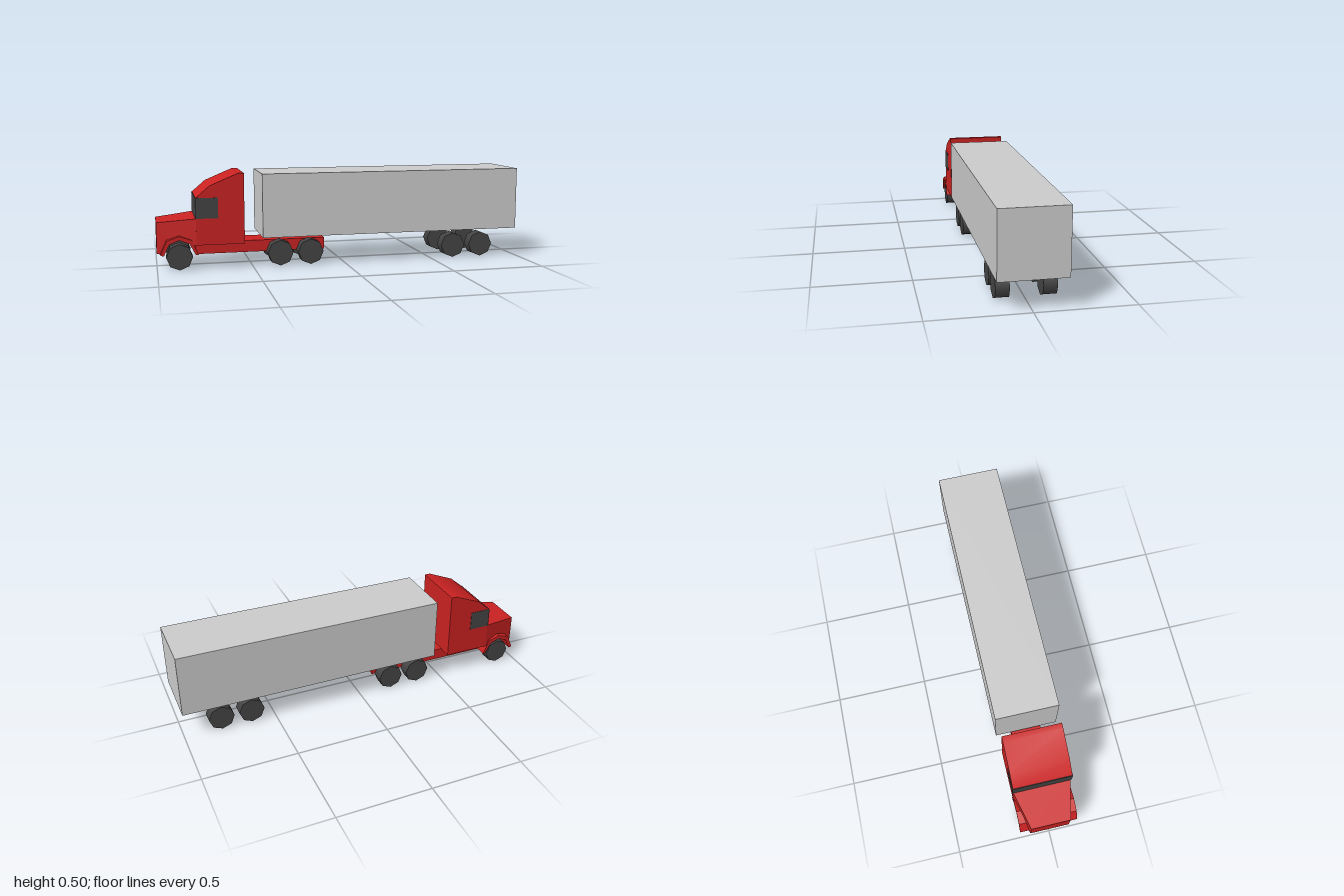
import * as THREE from 'three';
import { toCreasedNormals } from 'three/addons/utils/BufferGeometryUtils.js';

const material = (name, color) => {
  const m = new THREE.MeshStandardMaterial({ color });
  m.name = name;
  return m;
};

// Side profile (x, y) extruded across z, centred on zMid
function slab(points, width, zMid = 0) {
  const shape = new THREE.Shape(points.map(([x, y]) => new THREE.Vector2(x, y)));
  const geo = new THREE.ExtrudeGeometry(shape, { depth: width, bevelEnabled: false });
  return geo.translate(0, 0, zMid - width / 2);
}

// Box given by its x, y and z limits
function block(x0, x1, y0, y1, z0, z1) {
  return new THREE.BoxGeometry(x1 - x0, y1 - y0, z1 - z0)
    .translate((x0 + x1) / 2, (y0 + y1) / 2, (z0 + z1) / 2);
}

export function createModel() {
  const red = material('red paint', 0xcc2222);
  const grey = material('trailer grey', 0xcccccc);
  const dark = material('rubber and glass', 0x444444);
  const truck = new THREE.Group();
  truck.name = 'truck';
  const add = (name, geo, mat) => {
    const mesh = new THREE.Mesh(geo, mat);
    mesh.name = name;
    truck.add(mesh);
  };

  add('trailer', block(-0.45, 1, 0.157, 0.497, -0.17, 0.17), grey);
  add('chassis', block(-0.8, -0.1, 0.07, 0.132, -0.083, 0.083), red);

  // Cab with a sloped, softly shaded roof
  const cab = slab([[-0.797, 0.13], [-0.545, 0.13], [-0.545, 0.503], [-0.575, 0.503],
    [-0.725, 0.44], [-0.797, 0.378]], 0.316);
  add('cab', toCreasedNormals(cab, 0.6), red);

  // Bonnet with wheel arch cut-out, narrowing towards the nose
  const arch = [[-0.965, 0.08], [-0.937, 0.139], [-0.885, 0.16], [-0.833, 0.139]];
  const bonnet = slab([[-1, 0.25], [-1, 0.085], ...arch, [-0.826, 0.13],
    [-0.795, 0.13], [-0.795, 0.27]], 2);
  const p = bonnet.attributes.position;
  for (let i = 0; i < p.count; i++) {
    const t = (p.getX(i) + 1) / 0.205;
    p.setZ(i, p.getZ(i) * (0.106 + 0.05 * t));
  }
  add('bonnet', toCreasedNormals(bonnet, 0.3), red);

  // Windows wrap from the windscreen to both sides
  add('windscreen', block(-0.8, -0.796, 0.27, 0.378, -0.159, 0.159), dark);

  for (const side of [-1, 1]) {
    const label = side > 0 ? 'left' : 'right';
    add(label + 'SideWindow', block(-0.8, -0.682, 0.27, 0.378,
      side * 0.158 - 0.002, side * 0.158 + 0.002), dark);

    // Angular mudguard over the front wheel
    const guard = [[-0.983, 0.085], [-0.972, 0.08], ...arch, [-0.802, 0.08], [-0.787, 0.08],
      [-0.82, 0.158], [-0.885, 0.181], [-0.95, 0.158]];
    add(label + 'Mudguard', slab(guard, 0.07, side * 0.123), red);

    // Eight-sided wheels on five axles
    [-0.885, -0.352, -0.187, 0.63, 0.795].forEach((x, i) => {
      const wheel = new THREE.CylinderGeometry(0.069, 0.069, 0.069, 8)
        .rotateX(Math.PI / 2).translate(x, 0.069, side * 0.115);
      add(`${label}Wheel${i + 1}`, wheel, dark);
    });
  }
  return truck;
}
